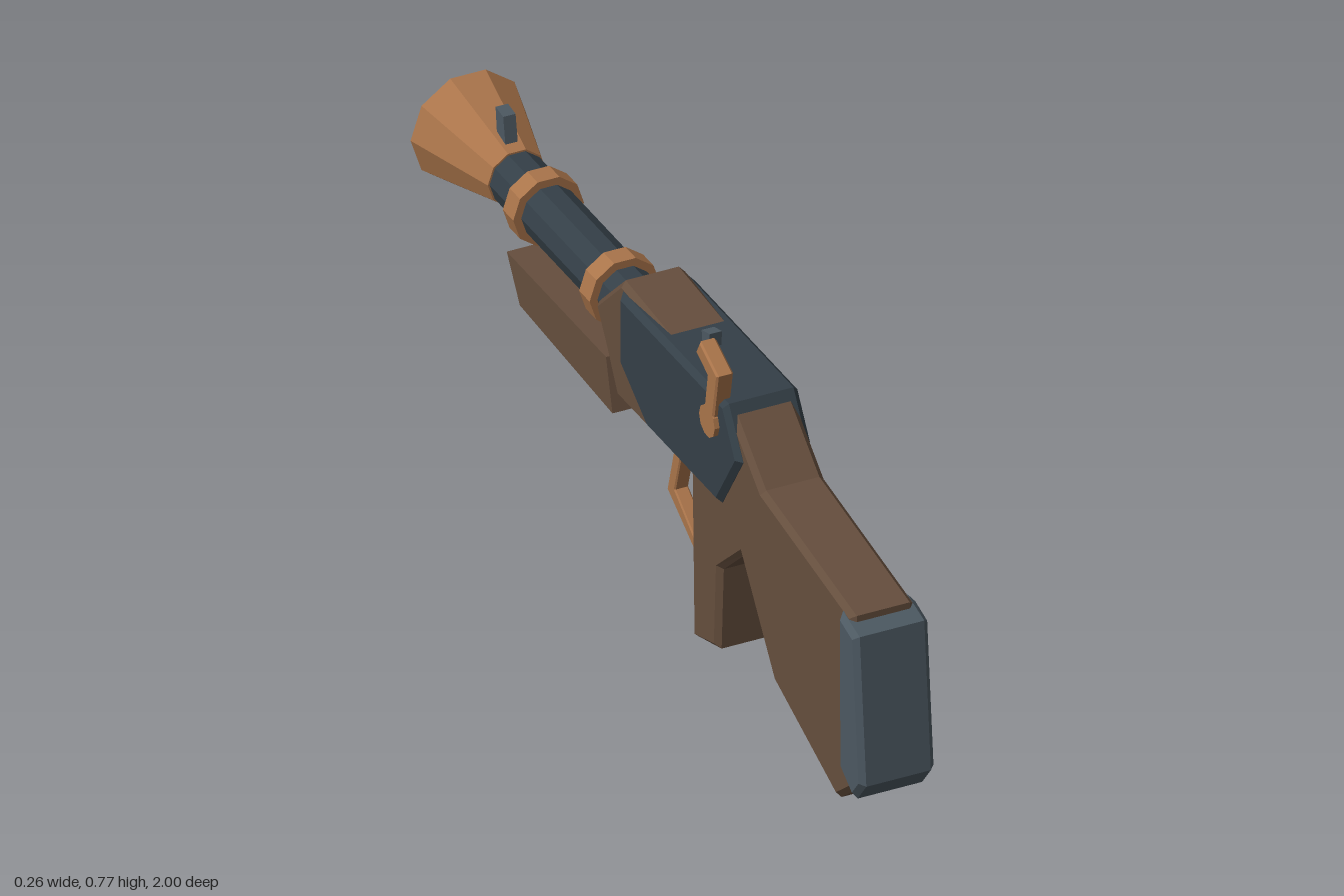
import * as THREE from 'three';

const material = (color) => new THREE.MeshStandardMaterial({ color, flatShading: true });

export function createModel() {
  const root = new THREE.Group();
  const wood = material(0x654e3d);
  const copper = material(0xa9744a);
  const steel = material(0x343f47);
  const plate = material(0x4c5861);
  const brass = material(0xb39c5e);

  const add = (name, geometry, mat) => {
    const mesh = new THREE.Mesh(geometry, mat);
    mesh.name = name;
    root.add(mesh);
    return mesh;
  };

  // Side profile of [z, y] points, extruded across x with chamfered edges
  const slab = (name, points, halfWidth, bevel, mat, x = 0) => {
    const shape = new THREE.Shape(points.map(([z, y]) => new THREE.Vector2(-z, y)));
    const geometry = new THREE.ExtrudeGeometry(shape, {
      depth: 2 * (halfWidth - bevel),
      bevelEnabled: bevel > 0,
      bevelThickness: bevel,
      bevelSize: bevel,
      bevelOffset: -bevel,
      bevelSegments: 1,
    });
    geometry.translate(0, 0, bevel - halfWidth).rotateY(Math.PI / 2).translate(x, 0, 0);
    return add(name, geometry, mat);
  };

  // Ten-sided section along the bore, from zBack to the muzzle side zFront
  const boreY = 0.57;
  const tube = (name, zBack, zFront, rBack, rFront, mat) => {
    const geometry = new THREE.CylinderGeometry(rBack, rFront, zBack - zFront, 10, 1, false, Math.PI / 10);
    geometry.rotateX(Math.PI / 2).translate(0, boreY, (zBack + zFront) / 2);
    return add(name, geometry, mat);
  };

  // Wooden body: butt, wrist, grip and nose in one profile
  slab('stock', [
    [0.93, 0.47], [0.515, 0.54], [0.375, 0.655], [0.12, 0.667], [-0.13, 0.685], [-0.25, 0.57],
    [-0.2, 0.49], [-0.15, 0.4], [0.19, 0.4], [0.2, 0.02], [0.31, 0.05], [0.32, 0.245],
    [0.42, 0.335], [0.57, 0.12], [0.86, 0], [0.935, 0.06],
  ], 0.072, 0.012, wood);
  slab('forestock', [[-0.18, 0.48], [-0.635, 0.48], [-0.575, 0.385], [-0.15, 0.362]], 0.08, 0, wood);

  // Metal fittings on the body
  slab('buttPlate', [[0.893, 0.465], [0.97, 0.445], [1, 0.105], [0.96, 0.055], [0.893, 0.1]], 0.085, 0.012, plate);
  slab('receiver', [
    [0.37, 0.67], [-0.115, 0.67], [-0.115, 0.505], [0.013, 0.418], [0.34, 0.418], [0.435, 0.565],
  ], 0.085, 0.012, steel);
  for (const z of [0.325, 0.065]) {
    const screw = new THREE.CylinderGeometry(0.018, 0.018, 0.02, 8);
    screw.rotateZ(Math.PI / 2).translate(0.089, 0.565, z);
    add('screw', screw, brass);
  }

  // Barrel, bands and flared muzzle
  tube('barrel', -0.18, -0.78, 0.062, 0.062, steel);
  for (const z of [-0.255, -0.605]) tube('barrelBand', z, z - 0.048, 0.08, 0.08, copper);
  tube('muzzleBell', -0.75, -0.975, 0.066, 0.13, copper);
  tube('muzzleRim', -0.97, -0.99, 0.112, 0.112, steel);
  tube('bore', -0.985, -1, 0.066, 0.066, plate);

  // Sights
  slab('rearSight', [[0.162, 0.705], [0.125, 0.695], [0.13, 0.655], [0.157, 0.655]], 0.014, 0, plate);
  slab('frontSight', [[-0.785, 0.7], [-0.82, 0.705], [-0.81, 0.61], [-0.77, 0.61]], 0.014, 0, plate);

  // Hammer on the left-hand side of the frame, with its pivot
  slab('hammer', [
    [0.335, 0.59], [0.362, 0.735], [0.28, 0.775], [0.262, 0.742], [0.315, 0.715], [0.295, 0.59],
  ], 0.019, 0.004, copper, -0.077);
  const pivot = new THREE.CylinderGeometry(0.036, 0.036, 0.014, 10);
  pivot.rotateZ(Math.PI / 2).translate(-0.089, 0.605, 0.315);
  add('hammerPivot', pivot, copper);

  // Trigger and its guard
  slab('trigger', [
    [0.138, 0.41], [0.115, 0.345], [0.153, 0.27], [0.14, 0.262], [0.098, 0.345], [0.12, 0.41],
  ], 0.01, 0, plate);
  slab('triggerGuard', [
    [0.045, 0.385], [0.005, 0.248], [0.107, 0.174], [0.2, 0.195], [0.2, 0.172],
    [0.107, 0.147], [-0.03, 0.232], [0.015, 0.392],
  ], 0.016, 0.003, copper);

  return root;
}
